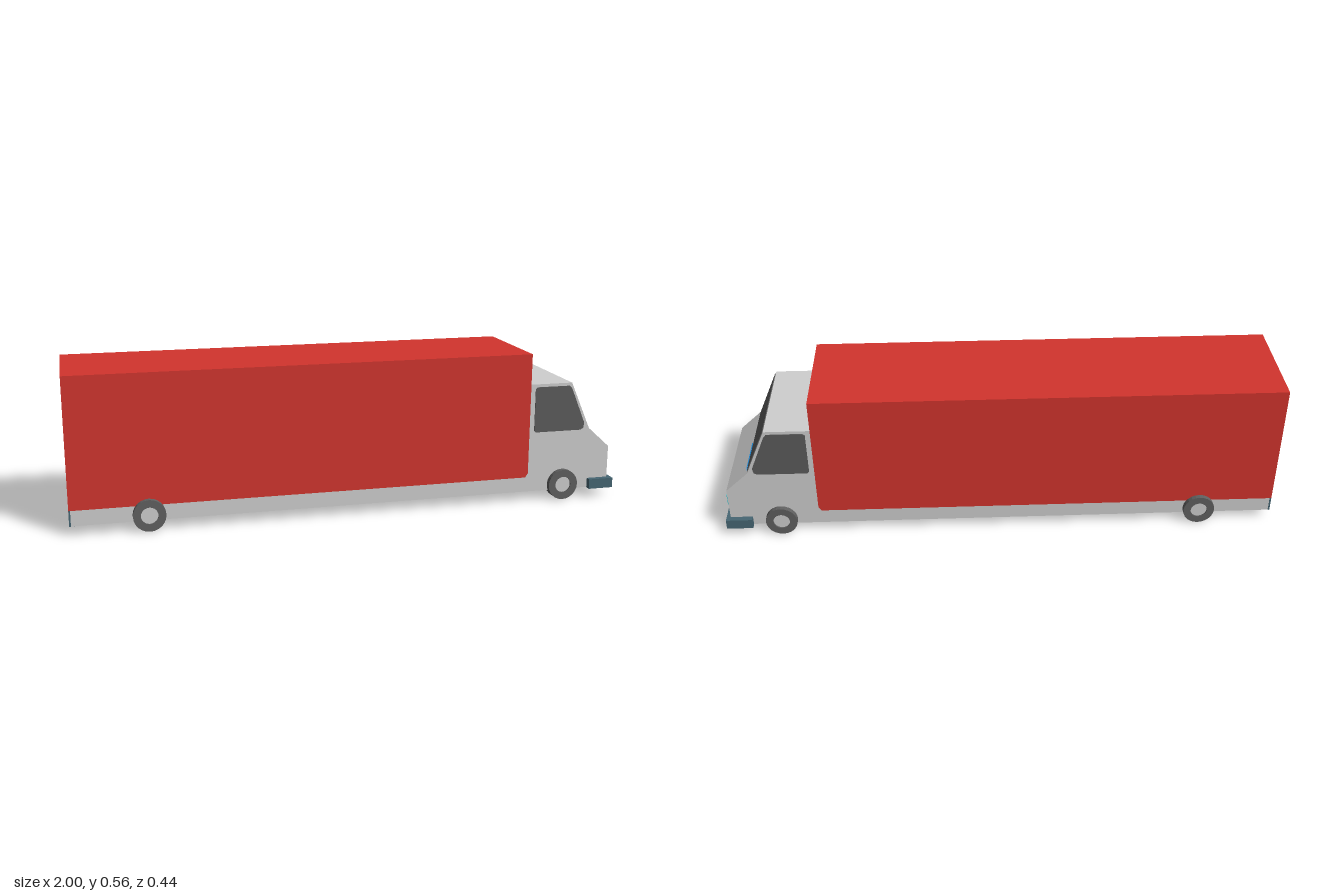
import * as THREE from 'three';

const mat = (name, color, extra = {}) => {
  const m = new THREE.MeshStandardMaterial({ color, ...extra });
  m.name = name;
  return m;
};

const shapeOf = (pts) => new THREE.Shape(pts.map(([x, y]) => new THREE.Vector2(x, y)));

// Extrude a side profile (x, y), centred on z
function slab(pts, depth) {
  const g = new THREE.ExtrudeGeometry(shapeOf(pts), { depth, bevelEnabled: false });
  return g.translate(0, 0, -depth / 2);
}

export function createModel() {
  const truck = new THREE.Group();
  truck.name = 'boxTruck';

  const red = mat('cargo red', 0xd2342d);
  const grey = mat('body light grey', 0xcfcfcf);
  const glass = mat('window grey', 0x5c5c5c);
  const tyreGrey = mat('tyre grey', 0x606060);
  const teal = mat('bumper slate', 0x466673);
  const cyan = mat('headlight cyan', 0x22c4cf);
  const blue = mat('trim blue', 0x2089d6);

  const add = (name, geometry, material, x = 0, y = 0, z = 0) => {
    const mesh = new THREE.Mesh(geometry, material);
    mesh.name = name;
    mesh.position.set(x, y, z);
    truck.add(mesh);
    return mesh;
  };
  const box = (name, m, x0, x1, y0, y1, z0, z1) =>
    add(name, new THREE.BoxGeometry(x1 - x0, y1 - y0, z1 - z0), m,
      (x0 + x1) / 2, (y0 + y1) / 2, (z0 + z1) / 2);

  // Chassis and cab share one side profile
  add('chassisAndCab', slab([
    [-0.997, 0.035], [0.985, 0.035], [0.985, 0.19], [0.902, 0.265], [0.825, 0.442],
    [0.663, 0.442], [0.663, 0.105], [0.655, 0.09], [-0.997, 0.09],
  ], 0.398), grey);

  // Cargo box with a small chamfer at its lower front edge
  add('cargoBox', slab([
    [-1, 0.09], [0.653, 0.09], [0.664, 0.105], [0.664, 0.555], [-1, 0.555],
  ], 0.4), red);

  // Windscreen, lying on the sloping front of the cab
  const slope = Math.atan2(0.825 - 0.902, 0.442 - 0.265);
  const windscreen = add('windscreen', new THREE.BoxGeometry(0.006, 0.186, 0.376), glass, 0.8635, 0.3525, 0);
  windscreen.rotation.z = -slope;

  // Tapered strip along the foot of the windscreen
  const strip = new THREE.Group();
  strip.name = 'windscreenTrim';
  strip.position.set(0.9055, 0.262, 0);
  strip.rotation.y = Math.PI / 2;
  strip.add(new THREE.Mesh(new THREE.ExtrudeGeometry(
    shapeOf([[0.015, 0], [0.175, 0], [0.165, 0.005], [0.015, 0.006]]),
    { depth: 0.002, bevelEnabled: false }), blue));
  strip.children[0].name = 'trimStrip';
  truck.add(strip);

  // Side windows
  const sideWindow = slab([
    [0.682, 0.268], [0.688, 0.261], [0.866, 0.261], [0.878, 0.268], [0.881, 0.287],
    [0.826, 0.42], [0.816, 0.431], [0.69, 0.431], [0.682, 0.424],
  ], 0.004);

  // Wheel parts
  const ring = new THREE.Shape().absarc(0, 0, 0.057, 0, Math.PI * 2);
  ring.holes.push(new THREE.Path().absarc(0, 0, 0.03, 0, Math.PI * 2));
  const tyre = new THREE.ExtrudeGeometry(ring, { depth: 0.034, bevelEnabled: false, curveSegments: 12 });
  tyre.translate(0, 0, -0.017);
  const hub = new THREE.CylinderGeometry(0.031, 0.031, 0.024, 24).rotateX(Math.PI / 2);

  // Headlight outline in (z, y), with a narrow inner tab
  const lamp = new THREE.ExtrudeGeometry(shapeOf([
    [0.108, 0.13], [0.115, 0.13], [0.115, 0.123], [0.192, 0.123], [0.192, 0.165],
    [0.115, 0.165], [0.115, 0.158], [0.108, 0.158],
  ]), { depth: 0.005, bevelEnabled: false }).translate(0, 0, -0.0025).rotateY(Math.PI / 2);
  const lampMirrored = lamp.clone().rotateX(Math.PI).translate(0, 0.288, 0);

  for (const side of [1, -1]) {
    const label = side > 0 ? 'Near' : 'Far';
    add('sideWindow' + label, sideWindow, glass, 0, 0, side * 0.199);
    add('headlight' + label, side > 0 ? lampMirrored : lamp, cyan, 0.986, 0, 0);
    for (const [end, x] of [['rear', -0.73], ['front', 0.8]]) {
      add(end + 'Tyre' + label, tyre, tyreGrey, x, 0.057, side * 0.2);
      add(end + 'Hub' + label, hub, grey, x, 0.057, side * 0.2);
    }
    // Bumper end wrapping around the cab corner
    const z0 = side > 0 ? 0.198 : -0.22;
    box('bumperEnd' + label, teal, 0.905, 1, 0.033, 0.07, z0, z0 + 0.022);
  }

  // Bumpers
  box('frontBumper', teal, 0.98, 1, 0.033, 0.07, -0.198, 0.198);
  box('rearBumper', teal, -1, -0.994, 0.035, 0.09, -0.2, 0.2);

  // Tapering plate under the tail
  const plate = new THREE.ExtrudeGeometry(
    shapeOf([[-1, -0.199], [-0.09, 0], [-1, 0.199]]), { depth: 0.004, bevelEnabled: false });
  add('undersidePlate', plate.rotateX(Math.PI / 2), teal, 0, 0.0375, 0);

  return truck;
}
